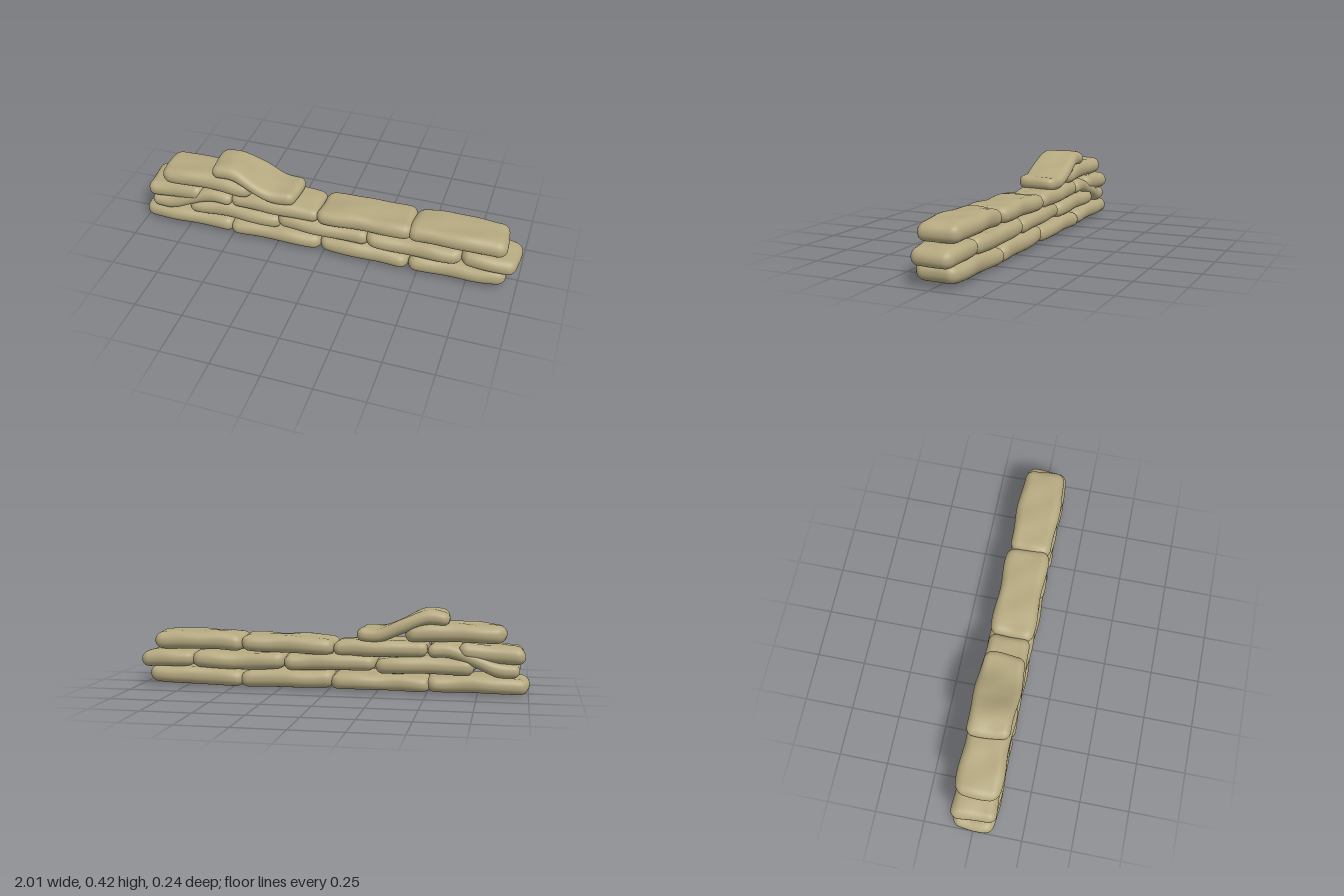
import * as THREE from 'three';
import { mergeVertices } from 'three/addons/utils/BufferGeometryUtils.js';

const HALF_DEPTH = 0.112;

// Each bag: [left x, right x, half height, centre heights at even steps from left to right]
const courses = {
  bottomCourse: [
    [-1.0, -0.5, 0.042, [0.048, 0.053, 0.054, 0.05]],
    [-0.515, -0.015, 0.041, [0.045, 0.05, 0.052, 0.046]],
    [-0.025, 0.455, 0.046, [0.056, 0.055, 0.052, 0.046]],
    [0.445, 0.95, 0.046, [0.049, 0.052, 0.058, 0.062]],
  ],
  secondCourse: [
    [-0.96, -0.5, 0.036, [0.124, 0.13, 0.18, 0.217, 0.216]],
    [-0.74, -0.235, 0.042, [0.136, 0.142, 0.14, 0.134]],
    [-0.245, 0.235, 0.042, [0.148, 0.147, 0.144, 0.138]],
    [0.225, 0.72, 0.044, [0.146, 0.138, 0.138, 0.142]],
    [0.71, 0.995, 0.043, [0.148, 0.144, 0.142, 0.135]],
  ],
  thirdCourse: [
    [-0.98, -0.66, 0.044, [0.197, 0.204, 0.212, 0.224]],
    [-0.505, -0.025, 0.042, [0.222, 0.224, 0.221, 0.22]],
    [-0.035, 0.46, 0.044, [0.222, 0.229, 0.232, 0.234]],
    [0.445, 0.93, 0.046, [0.23, 0.241, 0.24, 0.233]],
  ],
  fourthCourse: [[-0.885, -0.39, 0.045, [0.3, 0.307, 0.306, 0.298]]],
  slumpedTop: [[-0.605, -0.15, 0.037, [0.376, 0.381, 0.335, 0.292, 0.29]]],
};

// Smooth, repeatable lumps in the cloth
function lumps(a, b, seed) {
  return 0.5 * Math.sin(a * 17 + b * 11 + seed * 2.3)
    + 0.3 * Math.sin(a * 31 - b * 24 + seed * 4.1)
    + 0.2 * Math.sin(a * 12 + b * 47 + seed * 1.7);
}

// Rounded pillow that follows a bent centre line
function bagGeometry([x0, x1, hy, heights], seed) {
  const hx = (x1 - x0) / 2;
  const half = new THREE.Vector3(hx, hy, HALF_DEPTH);
  const radius = hy * 0.93;
  const inner = half.clone().subScalar(radius);
  const minInner = inner.clone().negate();
  const spine = new THREE.SplineCurve(
    heights.map((y, i) => new THREE.Vector2(i / (heights.length - 1), y)));

  let geo = new THREE.BoxGeometry(hx * 2, hy * 2, HALF_DEPTH * 2, 44, 10, 24);
  geo.deleteAttribute('normal');
  geo.deleteAttribute('uv');
  geo = mergeVertices(geo, 1e-5);

  const pos = geo.attributes.position;
  const p = new THREE.Vector3(), core = new THREE.Vector3();
  for (let i = 0; i < pos.count; i++) {
    p.fromBufferAttribute(pos, i);
    core.copy(p).clamp(minInner, inner);
    p.sub(core).setLength(radius).add(core);

    const u = p.x / hx, w = p.z / HALF_DEPTH, v = p.y / hy;
    const puff = 1 - 0.1 * u ** 4 - 0.06 * w ** 4;
    const wave = lumps(p.x, p.z, seed);
    // wavy ends and sides, with the four corners drawn in a little
    const x = p.x * (1 - 0.015 * w ** 4) + 0.006 * u * Math.sin(w * 2 + seed);
    const z = p.z * (1 - 0.05 * u ** 6) + 0.005 * w * Math.sin(p.x * 19 + seed * 3)
      + 0.003 * Math.sin(seed * 5);
    const y = spine.getPoint(THREE.MathUtils.clamp((u + 1) / 2, 0, 1)).y
      + p.y * puff + 0.006 * wave * (0.6 + 0.4 * v);
    pos.setXYZ(i, (x0 + x1) / 2 + x, Math.max(y, 0.001), z);
  }
  geo.computeVertexNormals();
  return geo;
}

export function createModel() {
  const wall = new THREE.Group();
  wall.name = 'sandbagWall';
  const cloth = new THREE.MeshStandardMaterial({ color: 0xb5a980 });
  let seed = 1;
  for (const [name, bags] of Object.entries(courses)) {
    const course = new THREE.Group();
    course.name = name;
    for (const bag of bags) {
      const mesh = new THREE.Mesh(bagGeometry(bag, seed++), cloth);
      mesh.name = 'sandbag';
      course.add(mesh);
    }
    wall.add(course);
  }
  return wall;
}
